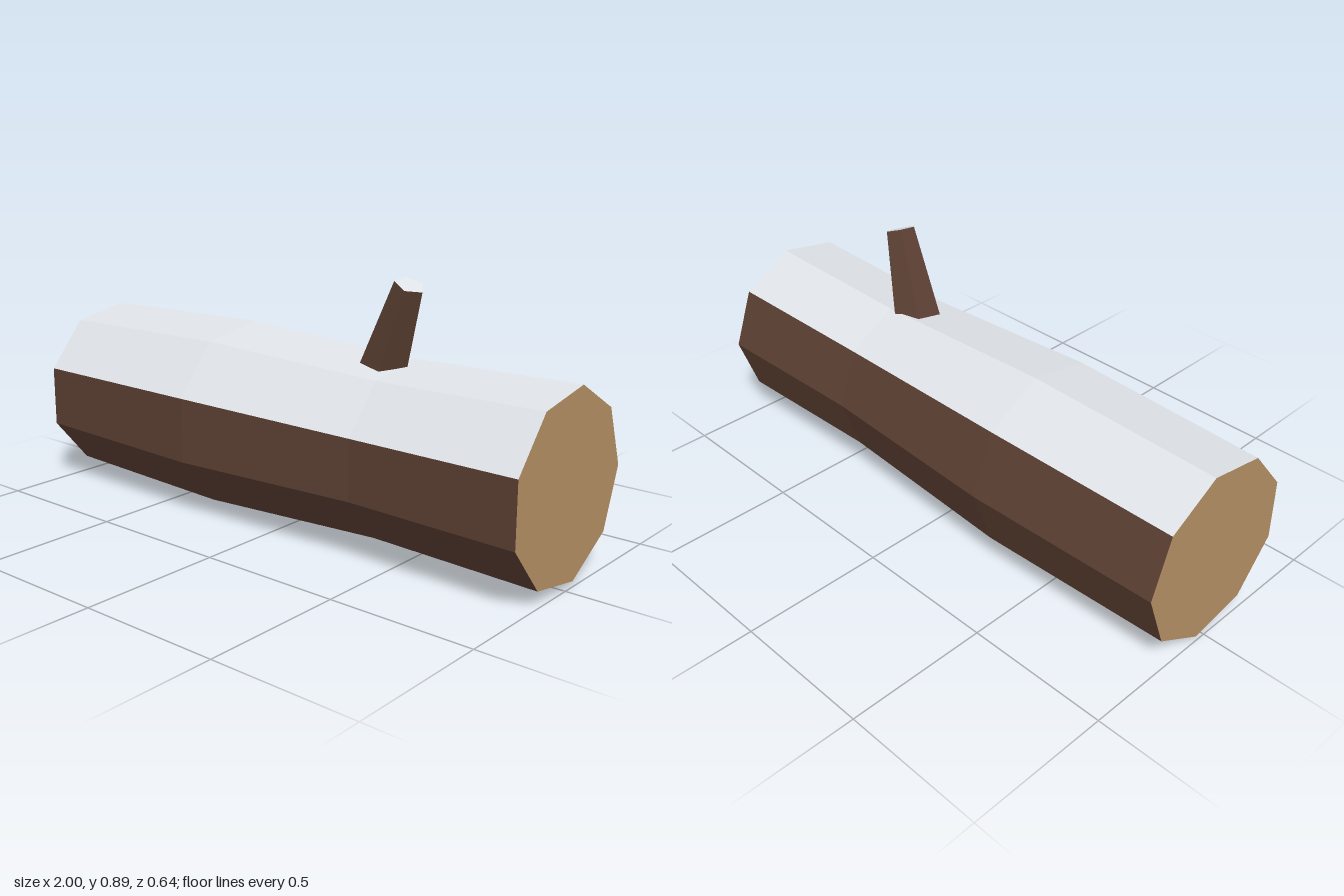
import * as THREE from 'three';

const SIDES = 9, CY = 0.328, CZ = 0.012;
// log cross-sections: [x, radius]
const RINGS = [[-1, 0.311], [-0.3, 0.33], [0.4, 0.298], [1, 0.311]];

// corner i of a ring, counted from the back over the top to the front
function corner([x, r], i) {
  const a = (i % SIDES) * Math.PI * 2 / SIDES;
  return [x, CY + r * Math.sin(a), CZ - r * Math.cos(a)];
}

function fromTriangles(points) {
  const g = new THREE.BufferGeometry();
  g.setAttribute('position', new THREE.Float32BufferAttribute(points.flat(), 3));
  g.computeVertexNormals();
  return g;
}

// lengthwise strips of the log between two corner numbers
function strips(from, to) {
  const pts = [];
  for (let k = 0; k < RINGS.length - 1; k++) {
    for (let i = from; i < to; i++) {
      const a = corner(RINGS[k], i), b = corner(RINGS[k], i + 1);
      const c = corner(RINGS[k + 1], i + 1), d = corner(RINGS[k + 1], i);
      pts.push(a, b, c, a, c, d);
    }
  }
  return fromTriangles(pts);
}

// sawn end, facing +x or -x
function endFace(ring, dir) {
  const pts = [];
  for (let i = 0; i < SIDES; i++) {
    const a = corner(ring, i), b = corner(ring, i + 1);
    pts.push([ring[0], CY, CZ], dir > 0 ? a : b, dir > 0 ? b : a);
  }
  return fromTriangles(pts);
}

function material(name, color) {
  const m = new THREE.MeshStandardMaterial({ color, flatShading: true });
  m.name = name;
  return m;
}

export function createModel() {
  const group = new THREE.Group();
  group.name = 'snowyLog';
  const bark = material('bark', 0x5c4033);
  const wood = material('cutWood', 0xb89265);
  const snow = material('snow', 0xdfe3e8);
  const add = (name, geometry, mat) => {
    const mesh = new THREE.Mesh(geometry, mat);
    mesh.name = name;
    group.add(mesh);
    return mesh;
  };

  // trunk: three snow-covered strips on top, bark on the rest
  add('snowCover', strips(1, 4), snow);
  add('trunkBark', strips(4, SIDES + 1), bark);
  add('rightEnd', endFace(RINGS[0], -1), wood);
  add('leftEnd', endFace(RINGS[3], 1), wood);

  // leaning five-sided branch stub with a snowy tip
  const foot = new THREE.Vector3(0.296, 0.503, 0.011);
  const tip = new THREE.Vector3(0.45, 0.878, 0.06);
  const axis = tip.clone().sub(foot);
  const stub = new THREE.CylinderGeometry(0.05, 0.092, axis.length(), 5);
  stub.rotateY(Math.PI / 2);
  const branch = add('branchStub', stub, [bark, snow, bark]);
  branch.position.copy(foot).add(tip).multiplyScalar(0.5);
  branch.quaternion.setFromUnitVectors(new THREE.Vector3(0, 1, 0), axis.normalize());

  return group;
}
